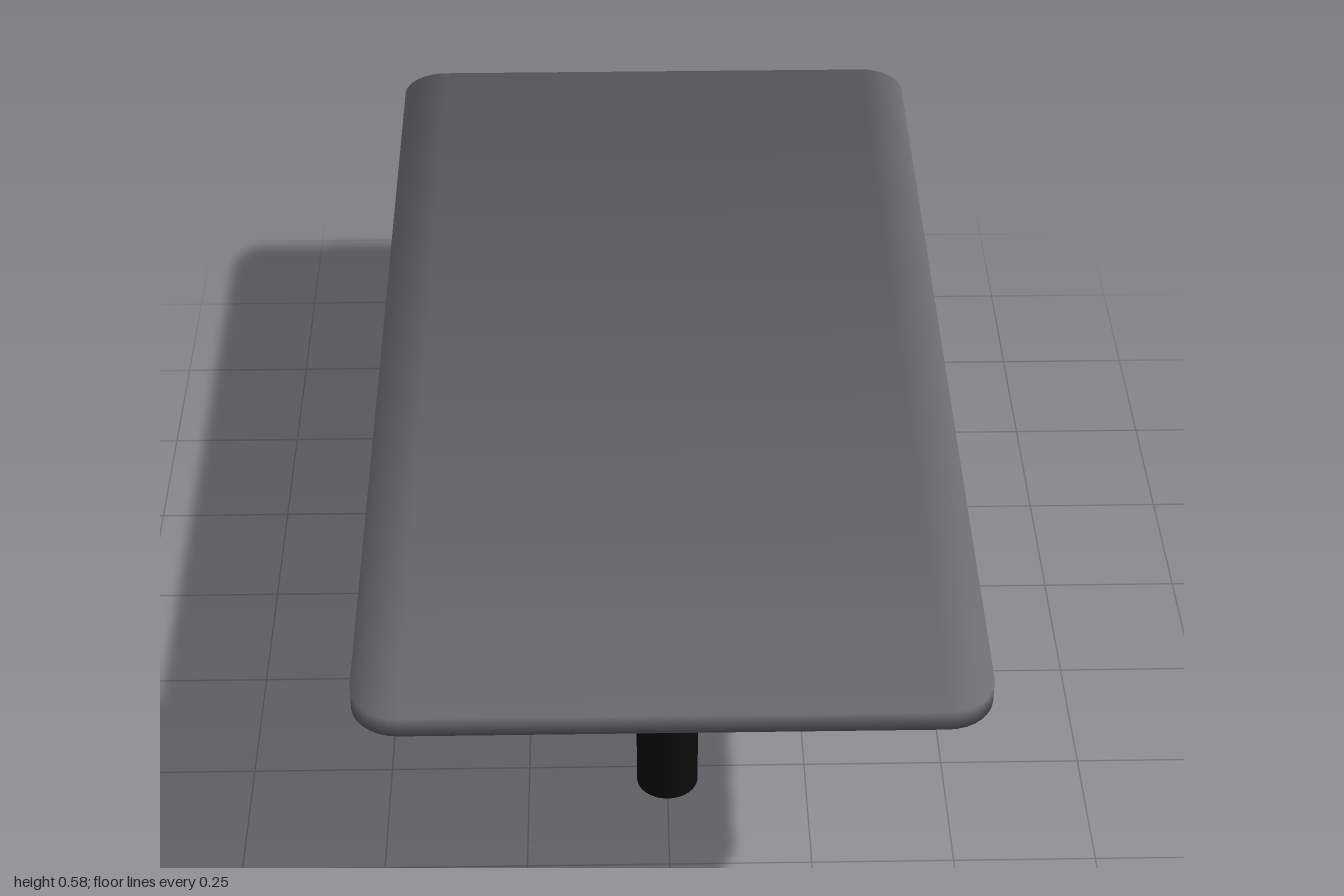
import * as THREE from 'three';

const HX = 0.515, HZ = 1, R = 0.08;      // tabletop half sizes and corner radius
const BOTTOM = 0.543, TOP = 0.58;
const LEG_R = 0.055;

// Rounded slab made of four-point cross-sections stepping along x, with soft rim normals
function slabGeometry(steps = 8) {
  const columns = [];
  for (const side of [-1, 1]) {
    for (let i = 0; i <= steps; i++) {
      const a = (side < 0 ? i : steps - i) / steps * Math.PI / 2;
      columns.push({ x: side * (HX - R + R * Math.cos(a)), z: HZ - R + R * Math.sin(a),
        nx: side * Math.cos(a), nz: Math.sin(a) });
    }
  }
  const positions = [], normals = [], index = [];
  const ring = [[1, 1], [1, -1], [-1, -1], [-1, 1]];   // [up, front] signs
  for (const c of columns) {
    for (const [up, front] of ring) {
      positions.push(c.x, up > 0 ? TOP : BOTTOM, front * c.z);
      const n = new THREE.Vector3(c.nx, up, front * c.nz).normalize();
      normals.push(n.x, n.y, n.z);
    }
  }
  for (let i = 0; i < columns.length - 1; i++) {
    for (let k = 0; k < 4; k++) {
      const a = i * 4 + k, b = i * 4 + (k + 1) % 4;
      index.push(a, a + 4, b, b, a + 4, b + 4);
    }
  }
  // long side faces
  const e = (columns.length - 1) * 4;
  index.push(0, 1, 2, 0, 2, 3, e, e + 2, e + 1, e, e + 3, e + 2);

  const geometry = new THREE.BufferGeometry();
  geometry.setAttribute('position', new THREE.Float32BufferAttribute(positions, 3));
  geometry.setAttribute('normal', new THREE.Float32BufferAttribute(normals, 3));
  geometry.setIndex(index);
  return geometry;
}

export function createModel() {
  const model = new THREE.Group();
  model.name = 'table';

  const grey = new THREE.MeshStandardMaterial({ color: 0x6c6d72 });
  grey.name = 'slate grey';
  const black = new THREE.MeshStandardMaterial({ color: 0x0c0c0c });
  black.name = 'black';

  const tabletop = new THREE.Mesh(slabGeometry(), grey);
  tabletop.name = 'tabletop';
  model.add(tabletop);

  // two round legs along the centre line
  const legGeometry = new THREE.CylinderGeometry(LEG_R, LEG_R, BOTTOM, 32);
  for (const [name, z] of [['frontLeg', 0.53], ['backLeg', -0.51]]) {
    const leg = new THREE.Mesh(legGeometry, black);
    leg.name = name;
    leg.position.set(0, BOTTOM / 2, z);
    model.add(leg);
  }
  return model;
}
